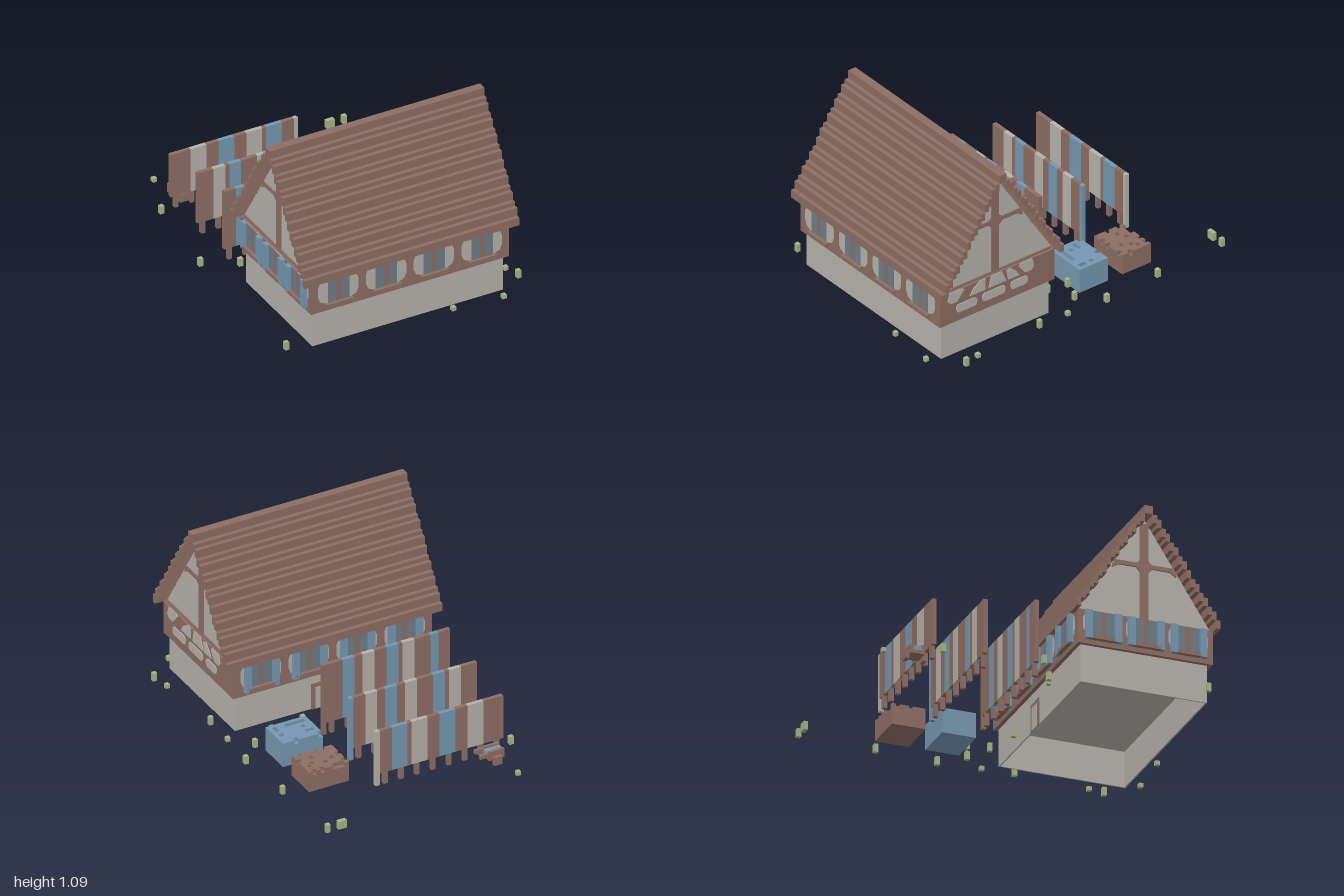
import * as THREE from 'three';

const U = 2 / 81; // block size
const MID = 0.535; // z of the house ridge

export function createModel() {
  const model = new THREE.Group();
  const mat = (name, color) => {
    const m = new THREE.MeshStandardMaterial({ color });
    m.name = name;
    return m;
  };
  const wood = mat('brown timber', 0x8d6e63);
  const plaster = mat('grey plaster', 0xb5b2aa);
  const blue = mat('blue paint', 0x7697b0);
  const glass = mat('slate glass', 0x6f7d88);
  const green = mat('leaf green', 0xa5b585);

  const add = (parent, name, geo, m) => {
    const mesh = new THREE.Mesh(geo, m);
    mesh.name = name;
    parent.add(mesh);
    return mesh;
  };
  const box = (parent, name, m, x0, x1, y0, y1, z0, z1) => {
    const mesh = add(parent, name, new THREE.BoxGeometry(x1 - x0, y1 - y0, z1 - z0), m);
    mesh.position.set((x0 + x1) / 2, (y0 + y1) / 2, (z0 + z1) / 2);
    return mesh;
  };
  const group = (name, parent = model) => {
    const g = new THREE.Group();
    g.name = name;
    parent.add(g);
    return g;
  };
  // Thin plate with clipped corners, standing on the local z = 0 plane
  const plate = (parent, name, m, pts, depth = 0.005) => {
    const shape = new THREE.Shape(pts.map(p => new THREE.Vector2(p[0], p[1])));
    return add(parent, name, new THREE.ExtrudeGeometry(shape, { depth, bevelEnabled: false }), m);
  };
  const rounded = (x0, x1, y0, y1, r) => [
    [x0 + r, y0], [x1 - r, y0], [x1 - r * 0.3, y0 + r * 0.3], [x1, y0 + r],
    [x1, y1 - r], [x1 - r * 0.3, y1 - r * 0.3], [x1 - r, y1],
    [x0 + r, y1], [x0 + r * 0.3, y1 - r * 0.3], [x0, y1 - r],
    [x0, y0 + r], [x0 + r * 0.3, y0 + r * 0.3]];

  // Ground floor: hollow, open underneath
  const base = group('groundFloor');
  const bx = 24 * U, zb = 0.163, zf = 0.905, yb = 9 * U;
  box(base, 'frontWall', plaster, -bx, bx, 0, yb, zf - 0.008, zf);
  box(base, 'backWall', plaster, -bx, bx, 0, yb, zb, zb + 0.008);
  for (const s of [-1, 1]) {
    const w = box(base, 'sideWall', plaster, -0.004, 0.004, 0, yb, zb + 0.008, zf - 0.008);
    w.position.x = s * (bx - 0.004);
  }
  box(base, 'ceiling', plaster, -bx + 0.008, bx - 0.008, yb - 0.008, yb - 0.001, zb + 0.008, zf - 0.008);

  // Timbered upper floor
  const sx = 0.615, sz = 16 * U, y0 = 9 * U, y1 = 17 * U;
  box(model, 'upperFloor', wood, -sx, sx, y0, y1, MID - sz, MID + sz);

  // A wall carries its details on a local plane facing outward
  const wall = (name, x, z, turn) => {
    const g = group(name);
    g.position.set(x, 0, z);
    g.rotation.y = turn;
    return g;
  };
  const addWindow = (parent, cx, half, shutters) => {
    const g = group('window', parent);
    g.position.x = cx;
    plate(g, 'plasterPanel', plaster, rounded(-half, half, 0.272, y1, 0.045), 0.003);
    box(g, 'windowPost', wood, -0.014, 0.014, 0.272, y1, 0, 0.006);
    for (const s of [-1, 1]) {
      const pane = box(g, 'pane', glass, -0.026, 0.026, 0.272, y1, 0, 0.006);
      pane.position.x = s * 0.04;
      if (shutters) {
        const sh = box(g, 'shutter', blue, -U * 0.8, U * 0.8, 0.25, y1, 0, U);
        sh.position.x = s * (0.066 + U * 0.8);
      }
    }
    box(g, 'sill', wood, -0.085, 0.085, 0.25, 0.272, 0, U);
  };
  const front = wall('frontWindows', 0, MID + sz, 0);
  const back = wall('backWindows', 0, MID - sz, Math.PI);
  for (let i = 0; i < 4; i++) {
    addWindow(front, (i - 1.5) * 0.297, 0.125, false);
    addWindow(back, (i - 1.5) * 0.297, 0.125, true);
  }
  const windowSide = wall('gableWindows', -sx, MID, -Math.PI / 2);
  for (let i = -1; i <= 1; i++) addWindow(windowSide, i * 0.25, 0.115, true);

  // Plaster fields between the braces of the plain side
  const braced = wall('bracedSide', sx, MID, Math.PI / 2);
  const fields = [
    [[-0.345, 0.37], [-0.32, 0.35], [-0.28, 0.35], [-0.23, 0.41], [-0.24, 0.42], [-0.33, 0.42]],
    [[-0.19, 0.35], [-0.085, 0.35], [-0.085, 0.42], [-0.12, 0.42], [-0.17, 0.385]],
    [[-0.06, 0.35], [0.06, 0.35], [0.03, 0.42], [-0.045, 0.42]],
    [[0.075, 0.35], [0.15, 0.35], [0.13, 0.385], [0.09, 0.42], [0.06, 0.41]],
    [[0.19, 0.35], [0.235, 0.35], [0.25, 0.37], [0.24, 0.42], [0.155, 0.42], [0.15, 0.4]]];
  for (const f of fields) plate(braced, 'plasterField', plaster, f);
  for (const [a, b] of [[-0.285, -0.14], [-0.105, 0.055], [0.09, 0.21]])
    plate(braced, 'plasterField', plaster, rounded(a, b, 0.275, 0.328, 0.02));

  // Attic with gables and their timbers
  const attic = group('attic');
  attic.position.set(-bx, 0, MID);
  attic.rotation.y = Math.PI / 2;
  const tri = plate(attic, 'gableWalls', plaster, [[-16 * U, y1], [16 * U, y1], [0, 42 * U]], 2 * bx);
  tri.position.z = 0;
  for (const s of [-1, 1]) {
    const g = wall('gableTimbers', s * bx, MID, s * Math.PI / 2);
    box(g, 'post', wood, -U, U, y1, 42 * U - 0.03, 0, 0.008);
    box(g, 'tieBeam', wood, -7.2 * U, 7.2 * U, 30 * U, 31 * U, 0, 0.008);
    box(g, 'footBeam', wood, -15.5 * U, 15.5 * U, y1, y1 + 0.5 * U, 0, 0.009);
    for (const d of [-1, 1]) {
      const corner = (x, y, dx, dy) => {
        const pts = [[x, y], [x + dx, y], [x, y + dy]];
        plate(g, 'brace', wood, dx * dy > 0 ? pts : pts.reverse(), 0.007);
      };
      corner(d * U, 30 * U, d * 0.025, -0.025);
      corner(d * U, 31 * U, d * 0.02, 0.02);
      corner(d * 7.6 * U, 30 * U, -d * 0.04, -0.025);
    }
  }

  // Stepped roof courses, mirrored about the ridge
  const roof = group('roof');
  const rx = 27 * U;
  for (let i = 0; i < 16; i++) {
    const top = Math.round(19 + 25 * i / 16) * U, h = 17 - i;
    for (const s of [-1, 1]) {
      const t = box(roof, 'roofCourse', wood, -rx, rx, top - 2 * U, top, -U / 2, U / 2);
      t.position.z = MID + s * (h - 0.5) * U;
    }
  }
  box(roof, 'ridge', wood, -rx, rx, 42 * U, 44 * U, MID - U, MID + U);

  // Small back door
  const door = wall('backDoor', 0.06, zb, Math.PI);
  box(door, 'doorFrame', wood, -0.06, 0.06, 0, 0.16, 0, 0.005);
  box(door, 'doorLeaf', plaster, -0.035, 0.035, 0, 0.135, 0, 0.008);

  // Loose wall sections: letters give the colour of each one-block column
  const keys = { w: wood, b: blue, p: plaster };
  const sections = [
    [-0.105, 18, 'wwwbbwwwwpppwbbbwwwpppwwbbbwwwww'],
    [-0.405, 16, 'wwwwpppwbbbwwwwpppwwbbbwwpppwwwb'],
    [-0.705, 14, 'wwwwwppppwwwbbbbwwwppppwbbbbwwwp']];
  for (const [z, h, columns] of sections) {
    const g = group('wallSection');
    const low = 3;
    for (let a = 0; a < 32;) {
      let b = a;
      while (columns[b] === columns[a]) b++;
      box(g, 'panel', keys[columns[a]], -0.595 + a * U, -0.595 + b * U,
        low * U, h * U, z, z + U);
      a = b;
    }
    for (let i = 0; i < 32; i += 4)
      box(g, 'leg', wood, -0.595 + (i + 1) * U, -0.595 + (i + 2) * U, 0, low * U, z, z + U);
    box(g, 'endLeg', keys[columns[31]], -0.595 + 31 * U, -0.595 + 32 * U, 0, low * U, z, z + U);
  }

  // Pitted blocks: # marks a full top cell, a dot a pit
  const block = (name, m, z, h, rows) => {
    const g = group(name);
    const x = 0.295;
    box(g, 'body', m, x, x + 10 * U, 0, (h - 1) * U, z, z + 8 * U);
    rows.forEach((row, r) => {
      for (let a = 0; a < 10; a++) {
        if (row[a] === '.') continue;
        let b = a;
        while (row[b] === '#') b++;
        box(g, 'topCells', m, x + a * U, x + b * U, (h - 1) * U, h * U, z + r * U, z + (r + 1) * U);
        a = b;
      }
    });
  };
  block('blueBlock', blue, -0.288, 6, [
    '.#####.###', '##########', '#..#######', '########.#',
    '##.#######', '########.#', '#.....##.#', '##########']);
  block('brownBlock', wood, -0.583, 5, [
    '#...##.#.#', '.#########', '####.###.#', '##.####.##',
    '.#########', '######.##.#', '##########', '##.#.###.#']);

  // Hand cart
  const cart = group('cart');
  box(cart, 'load', blue, -0.545, -0.45, 0.045, 0.07, -0.797, -0.745);
  for (const z of [-0.81, -0.748]) {
    box(cart, 'sideBoard', wood, -0.545, -0.45, 0.045, 0.08, z, z + 0.018);
    box(cart, 'handle', wood, -0.45, -0.395, 0.05, 0.072, z, z + 0.018);
  }
  box(cart, 'floor', wood, -0.545, -0.45, 0.025, 0.045, -0.81, -0.73);
  for (const z of [-0.832, -0.73])
    box(cart, 'wheel', wood, -0.52, -0.47, 0, 0.05, z, z + 0.022);

  // Tufts of grass: x, z, height in blocks
  const tufts = [
    [-0.54, -0.97, 1], [-0.66, -0.67, 2], [-0.73, -0.105, 2], [-0.54, 0, 2], [-0.485, 0.02, 2],
    [0.21, 0.095, 1], [0.675, -0.525, 2], [0.7, -0.155, 2], [0.675, 0.095, 1], [0.675, 0.29, 2],
    [0.7, 0.735, 1], [0.725, 0.835, 2], [0.255, 0.955, 1], [0.555, 0.98, 1], [-0.73, 0.86, 2],
    [0.45, -0.08, 2], [0.575, -0.03, 2], [0.43, 0.045, 2], [0.55, -0.988, 2], [0.575, -0.988, 2],
    [0.65, -0.988, 2]];
  const grass = group('grass');
  for (const [x, z, h] of tufts)
    box(grass, 'tuft', green, x - U / 2, x + U / 2, 0, h * U, z - U / 2, z + U / 2);

  return model;
}
